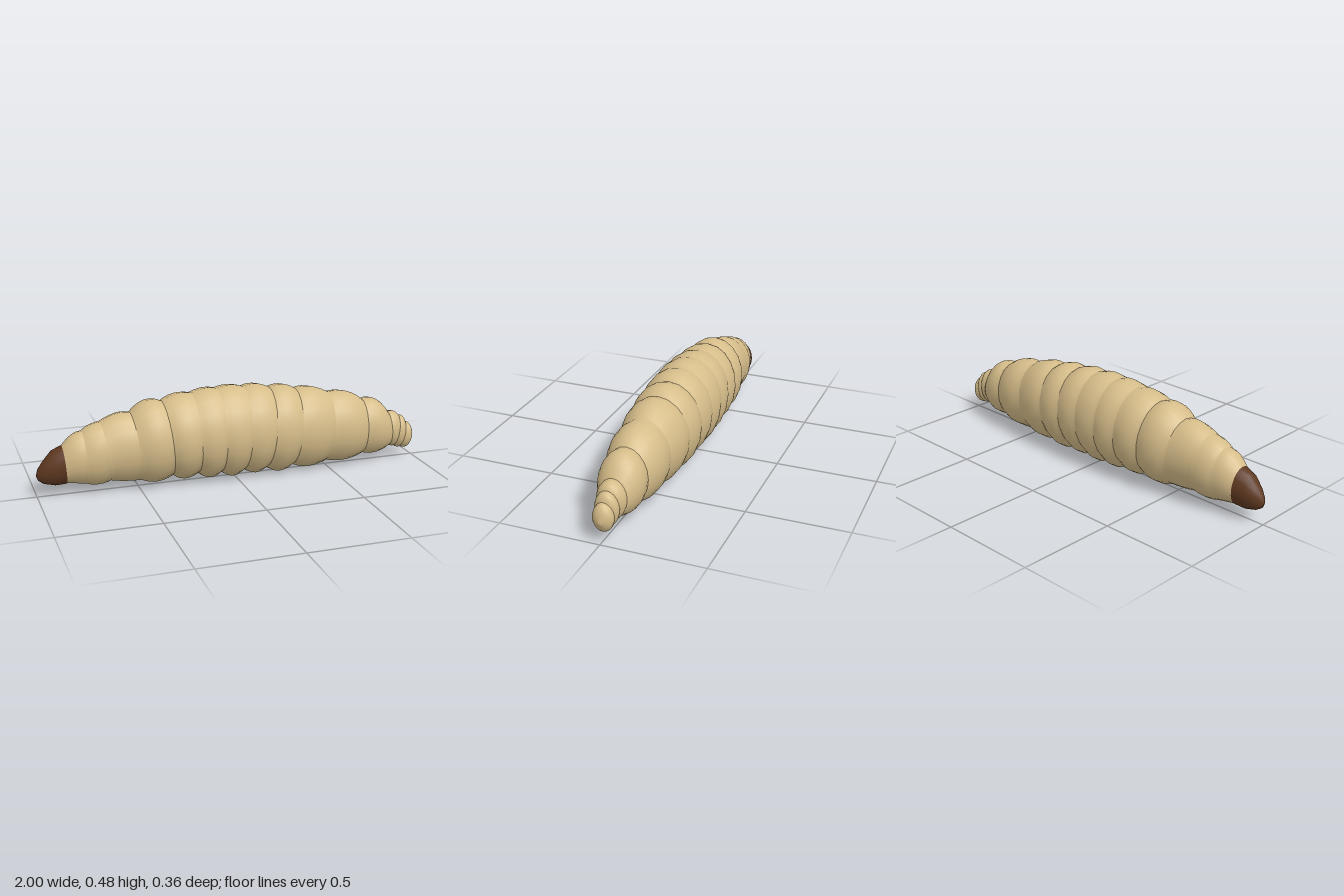
import * as THREE from 'three';

const SIDES = 20;

// Skin a run of tilted elliptical rings: [topX, topY, bottomX, bottomY, halfWidth]
function loft(rings) {
  const positions = [], index = [];
  for (const [xt, yt, xb, yb, w] of rings) {
    for (let j = 0; j < SIDES; j++) {
      const a = (j / SIDES) * Math.PI * 2, k = Math.cos(a);
      positions.push((xt + xb) / 2 + k * (xt - xb) / 2, (yt + yb) / 2 + k * (yt - yb) / 2, w * Math.sin(a));
    }
  }
  for (let i = 0; i < rings.length - 1; i++) {
    for (let j = 0; j < SIDES; j++) {
      const n = (j + 1) % SIDES;
      const a = i * SIDES + j, b = i * SIDES + n, c = a + SIDES, d = b + SIDES;
      index.push(a, b, c, b, d, c);
    }
  }
  const g = new THREE.BufferGeometry();
  g.setAttribute('position', new THREE.Float32BufferAttribute(positions, 3));
  g.setIndex(index);
  g.computeVertexNormals();
  return g;
}

// Rounded segment: a quadratic through the first groove, the bulge and the next groove
function bulge(a, m, b, steps = 6) {
  return Array.from({ length: steps + 1 }, (_, i) => {
    const t = i / steps;
    return a.map((v, k) => v * (1 - t) * (1 - 2 * t) + m[k] * 4 * t * (1 - t) + b[k] * t * (2 * t - 1));
  });
}

// Each row holds a groove ring followed by the bulge ring after it
const BODY = [
  [[-0.87, 0.25, -0.855, 0.06, 0.068], [-0.82, 0.298, -0.81, 0.055, 0.088]],
  [[-0.77, 0.315, -0.76, 0.047, 0.098], [-0.73, 0.34, -0.7, 0.038, 0.112]],
  [[-0.68, 0.352, -0.64, 0.052, 0.117], [-0.6, 0.386, -0.57, 0.04, 0.126]],
  [[-0.53, 0.385, -0.49, 0.037, 0.134], [-0.45, 0.438, -0.41, 0.02, 0.16]],
  [[-0.37, 0.428, -0.33, 0.045, 0.15], [-0.3, 0.457, -0.27, 0.02, 0.174]],
  [[-0.22, 0.455, -0.2, 0.042, 0.165], [-0.15, 0.473, -0.14, 0.01, 0.18]],
  [[-0.09, 0.467, -0.08, 0.035, 0.172], [-0.02, 0.478, -0.02, 0.005, 0.182]],
  [[0.05, 0.464, 0.04, 0.035, 0.172], [0.12, 0.472, 0.1, 0.008, 0.18]],
  [[0.19, 0.446, 0.16, 0.033, 0.165], [0.26, 0.457, 0.23, 0.002, 0.175]],
  [[0.33, 0.427, 0.3, 0.03, 0.157], [0.41, 0.432, 0.39, 0.008, 0.161]],
  [[0.51, 0.393, 0.49, 0.03, 0.135], [0.61, 0.388, 0.6, 0.02, 0.14]],
  [[0.7, 0.338, 0.7, 0.046, 0.105], [0.78, 0.33, 0.78, 0.04, 0.108]],
];
const TAIL = [
  [[0.85, 0.255, 0.86, 0.07, 0.07], [0.89, 0.252, 0.875, 0.062, 0.068]],
  [[0.915, 0.228, 0.89, 0.064, 0.055], [0.94, 0.22, 0.91, 0.052, 0.057]],
  [[0.955, 0.19, 0.925, 0.056, 0.047], [0.985, 0.17, 0.965, 0.05, 0.045]],
];
const TAIL_END = [1, 0.115, 0.995, 0.095, 0.01];

export function createModel() {
  const model = new THREE.Group();
  model.name = 'larva';
  const skin = new THREE.MeshStandardMaterial({ color: 0xd6bd8a });
  skin.name = 'tan skin';
  const shell = new THREE.MeshStandardMaterial({ color: 0x5e3820 });
  shell.name = 'brown head';

  const add = (parent, name, rings, material) => {
    const mesh = new THREE.Mesh(loft(rings), material);
    mesh.name = name;
    parent.add(mesh);
  };

  // Pointed head capsule
  add(model, 'head', [
    [-1, 0.11, -1, 0.11, 0],
    [-0.99, 0.145, -0.99, 0.085, 0.02],
    [-0.96, 0.185, -0.965, 0.068, 0.042],
    [-0.92, 0.23, -0.91, 0.055, 0.062],
    [-0.87, 0.252, -0.855, 0.058, 0.07],
  ], shell);

  // Body and tail segments, each its own smooth band so the grooves stay sharp
  const chain = (name, rows, end) => {
    const group = new THREE.Group();
    group.name = name;
    rows.forEach(([groove, mid], i) => {
      const next = i + 1 < rows.length ? rows[i + 1][0] : end;
      const rings = bulge(groove, mid, next);
      // Close the very tip with a point
      if (next === TAIL_END) rings.push([1, 0.105, 1, 0.105, 0]);
      add(group, `${name}Segment${i + 1}`, rings, skin);
    });
    model.add(group);
  };
  chain('body', BODY, TAIL[0][0]);
  chain('tail', TAIL, TAIL_END);

  return model;
}
